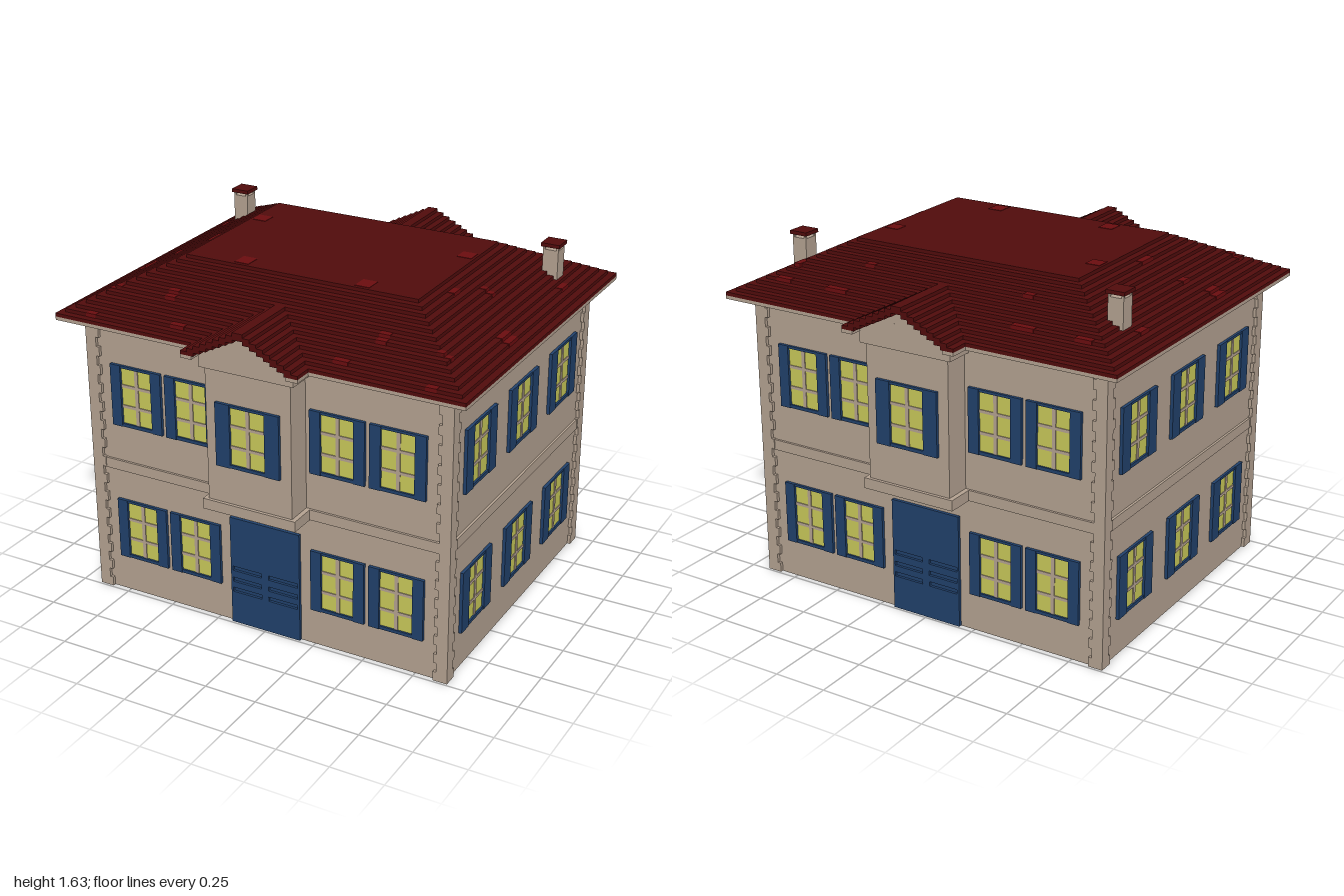
import * as THREE from 'three';

const mat = (name, color) => Object.assign(new THREE.MeshStandardMaterial({ color }), { name });
const wall = mat('stucco', 0xb5a392);
const roofRed = mat('roof tile', 0x520c0c);
const tileRed = mat('bright roof tile', 0x6b0d0f);
const blue = mat('blue paint', 0x21416c);
const glass = mat('lit glass', 0xcaca5a);

// Box given by its min and max on each axis
function box(parent, name, m, x0, x1, y0, y1, z0, z1) {
  const mesh = new THREE.Mesh(new THREE.BoxGeometry(x1 - x0, y1 - y0, z1 - z0), m);
  mesh.position.set((x0 + x1) / 2, (y0 + y1) / 2, (z0 + z1) / 2);
  mesh.name = name;
  parent.add(mesh);
  return mesh;
}

const WX = 0.895, WZ = 0.725;              // wall half sizes
const EAVE = 1.378, STEP = 0.0325, RISE = 0.0165, LAYERS = 14;
const RX = 1, RZ = 0.83;                   // roof half sizes

// Shuttered window on a wall facing +z at depth z
function addWindow(parent, x, y, z, shutter, pane = 0.16) {
  const g = new THREE.Group();
  g.name = 'window';
  g.position.set(x, y, z);
  parent.add(g);
  const p = pane / 2, h = 0.3;
  for (const s of [-1, 1]) {
    const a = s * p, b = s * (p + shutter);
    box(g, 'shutter', blue, Math.min(a, b), Math.max(a, b), 0, h, -0.01, 0.015);
  }
  box(g, 'sill', blue, -p, p, 0, 0.016, -0.01, 0.012);
  box(g, 'lintel', blue, -p, p, h - 0.012, h, -0.01, 0.012);
  box(g, 'pane', glass, -p, p, 0.016, h - 0.012, -0.004, 0.003);
  box(g, 'mullion', wall, -0.009, 0.009, 0.016, h - 0.012, 0, 0.007);
  for (const t of [0.1, 0.2]) box(g, 'glazingBar', wall, -p, p, t - 0.007, t + 0.007, 0, 0.007);
}

// Door leaf with six recessed slots
function addDoor(parent) {
  const s = new THREE.Shape();
  s.moveTo(-0.178, 0).lineTo(0.178, 0).lineTo(0.178, 0.54).lineTo(-0.178, 0.54).closePath();
  for (const x of [-0.168, 0.018]) for (const y of [0.16, 0.213, 0.27]) {
    const hole = new THREE.Path();
    hole.moveTo(x, y).lineTo(x, y + 0.022).lineTo(x + 0.15, y + 0.022).lineTo(x + 0.15, y).closePath();
    s.holes.push(hole);
  }
  const door = new THREE.Mesh(new THREE.ExtrudeGeometry(s, { depth: 0.012, bevelEnabled: false }), blue);
  door.position.z = WZ + 0.003;
  door.name = 'door';
  parent.add(door);
  box(parent, 'doorBack', blue, -0.178, 0.178, 0, 0.54, WZ - 0.01, WZ + 0.003);
}

// Stepped gable roof with its pediment over the bay
function addGable(parent) {
  for (let k = 0; k < 9; k++) {
    const hw = 0.285 - k * STEP;
    const y0 = EAVE + Math.max(0, k - 1) * RISE, y1 = EAVE + (k + 1) * RISE;
    if (k === 8) box(parent, 'gableRidge', roofRed, -hw, hw, y0, y1, 0.5, 0.92);
    else for (const s of [-1, 1]) {
      const c = s * (hw - STEP / 2);
      box(parent, 'gableTile', roofRed, c - STEP / 2, c + STEP / 2, y0, y1, 0.5, 0.92);
    }
    if (k > 1) box(parent, 'pediment', wall, -hw, hw, EAVE + (k - 2) * RISE, EAVE + (k - 1) * RISE, 0.6, 0.865);
  }
  for (const s of [-1, 1])
    box(parent, 'gableSoffit', wall, s * 0.2575 - 0.0275, s * 0.2575 + 0.0275, EAVE - 0.016, EAVE, 0.8, 0.92);
}

// Long facade: door, bay, gable and windows
function longFacade() {
  const g = new THREE.Group();
  g.name = 'longFacade';
  addDoor(g);
  for (const s of [-1, 1]) for (const x of [0.367, 0.655]) for (const y of [0.18, 0.86])
    addWindow(g, s * x, y, WZ, 0.053);
  box(g, 'bay', wall, -0.21, 0.21, 0.65, 1.37, 0.7, 0.85);
  box(g, 'bayBase', wall, -0.232, 0.232, 0.63, 0.68, 0.7, 0.865);
  box(g, 'bayCornice', wall, -0.232, 0.232, 1.31, EAVE, 0.7, 0.865);
  addWindow(g, 0, 0.86, 0.85, 0.072, 0.172);
  addGable(g);
  return g;
}

// Short facade: three windows per floor
function shortFacade() {
  const g = new THREE.Group();
  g.name = 'shortFacade';
  for (const x of [-0.45, 0, 0.45]) for (const y of [0.18, 0.86]) addWindow(g, x, y, WX, 0.071);
  return g;
}

// Bright tiles laid over the steps they cover
function addTile(parent, x, z, w, d) {
  const ix = RX - Math.abs(x), iz = RZ - Math.abs(z), alongX = iz < ix;
  const inset = alongX ? iz : ix, half = (alongX ? d : w) / 2;
  if (inset > STEP * (LAYERS - 1)) {
    const y = EAVE + LAYERS * RISE;
    box(parent, 'brightTile', tileRed, x - w / 2, x + w / 2, y - 0.004, y + 0.002, z - d / 2, z + d / 2);
    return;
  }
  const first = Math.round((inset - half) / STEP);
  const count = Math.max(1, Math.round(2 * half / STEP));
  for (let k = first; k < first + count; k++) {
    const y = EAVE + k * RISE, c = (k + 0.5) * STEP, e = STEP / 2;
    const sx = Math.sign(x) || 1, sz = Math.sign(z) || 1;
    if (alongX) {
      const m = sz * (RZ - c + 0.002);
      box(parent, 'brightTile', tileRed, x - w / 2, x + w / 2, y, y + RISE + 0.002, m - e, m + e);
    } else {
      const m = sx * (RX - c + 0.002);
      box(parent, 'brightTile', tileRed, m - e, m + e, y, y + RISE + 0.002, z - d / 2, z + d / 2);
    }
  }
}

function addChimney(parent, s) {
  const g = new THREE.Group();
  g.name = 'chimney';
  g.position.set(s * 0.817, 0, -0.483);
  parent.add(g);
  box(g, 'stack', wall, -0.037, 0.037, 1.4, 1.597, -0.037, 0.037);
  for (const x of [-0.032, 0.032]) for (const z of [-0.032, 0.032])
    box(g, 'capPost', wall, x - 0.005, x + 0.005, 1.597, 1.613, z - 0.005, z + 0.005);
  box(g, 'cap', roofRed, -0.045, 0.045, 1.611, 1.628, -0.045, 0.045);
}

export function createModel() {
  const house = new THREE.Group();
  house.name = 'house';

  // Walls, floor band and eaves
  box(house, 'walls', wall, -WX, WX, 0, 1.37, -WZ, WZ);
  box(house, 'floorBand', wall, -0.906, 0.906, 0.63, 0.68, -0.736, 0.736);
  box(house, 'eaves', wall, -RX, RX, EAVE - 0.016, EAVE, -RZ, RZ);

  // Corner stones, alternately wide and narrow
  const rows = 30, rh = 1.365 / rows;
  for (const sx of [-1, 1]) for (const sz of [-1, 1]) for (let i = 0; i < rows; i++) {
    const w = (i % 2 ? 0.053 : 0.069) / 2;
    const cx = sx * (0.91 - w), cz = sz * (0.74 - w);
    box(house, 'cornerStone', wall, cx - w, cx + w, i * rh, (i + 1) * rh, cz - w, cz + w);
  }

  // Facades, each used on two opposite sides
  for (const turn of [0, Math.PI]) {
    const long = longFacade(), short = shortFacade();
    long.rotation.y = turn;
    short.rotation.y = turn + Math.PI / 2;
    house.add(long, short);
  }

  // Stepped hip roof with a flat top
  for (let k = 0; k < LAYERS; k++) {
    const x = RX - k * STEP, z = RZ - k * STEP;
    box(house, 'roofStep', roofRed, -x, x, EAVE + k * RISE, EAVE + (k + 1) * RISE, -z, z);
  }
  for (const s of [-1, 1]) {
    const tiles = [
      [0.53, -0.175, 0.07, 0.07], [0.3, 0.35, 0.07, 0.08], [0.89, -0.425, 0.04, 0.07],
      [0.9, 0.225, 0.05, 0.09], [0.52, 0.61, 0.05, 0.06], [0.82, 0.62, 0.06, 0.03],
      [0.4, 0.76, 0.07, 0.03], [0.41, -0.51, 0.05, 0.03], [0.77, -0.69, 0.08, 0.03],
      [0.83, 0.77, 0.05, 0.03], [0.48, -0.7, 0.11, 0.03],
    ];
    for (const [x, z, w, d] of tiles) addTile(house, s * x, z, w, d);
    addChimney(house, s);
  }
  for (const t of [[0.75, -0.58, 0.03, 0.07], [0.72, 0, 0.06, 0.03], [0.64, 0.17, 0.03, 0.06],
    [-0.8, 0.14, 0.03, 0.06], [-0.63, 0.08, 0.03, 0.1]]) addTile(house, ...t);

  return house;
}
